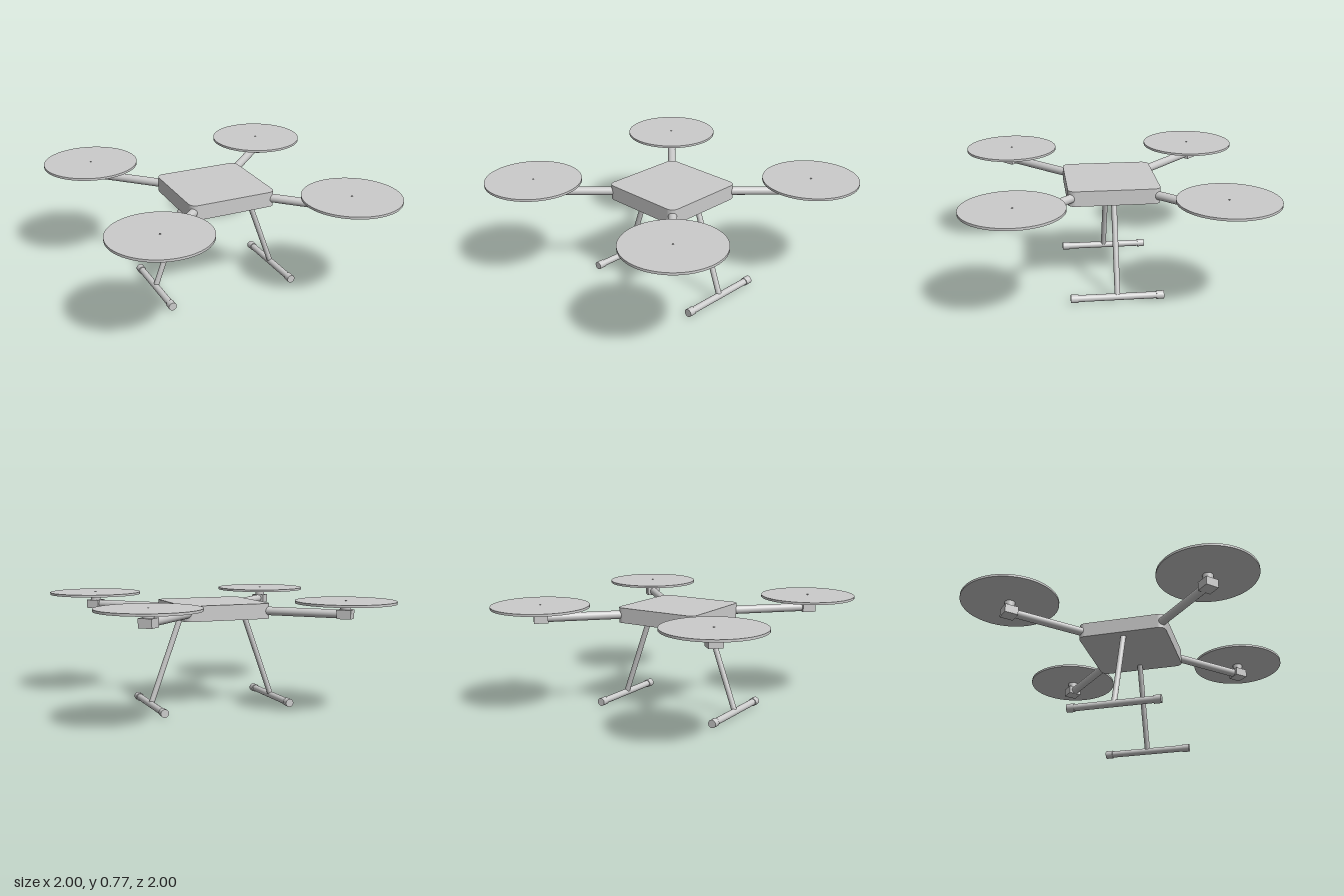
import * as THREE from 'three';

const material = new THREE.MeshStandardMaterial({ color: 0xcccccc });

function add(parent, name, geometry, x = 0, y = 0, z = 0) {
  const mesh = new THREE.Mesh(geometry, material);
  mesh.name = name;
  mesh.position.set(x, y, z);
  parent.add(mesh);
  return mesh;
}

// Cylinder running between two points
function rod(parent, name, a, b, radius) {
  const dir = b.clone().sub(a);
  const mesh = add(parent, name, new THREE.CylinderGeometry(radius, radius, dir.length(), 32));
  mesh.position.copy(a).add(b).multiplyScalar(0.5);
  mesh.quaternion.setFromUnitVectors(new THREE.Vector3(0, 1, 0), dir.normalize());
  return mesh;
}

// Square plate with rounded vertical corners
function plateGeometry(half, radius, height) {
  const shape = new THREE.Shape();
  const c = half - radius;
  shape.absarc(c, c, radius, 0, Math.PI / 2);
  shape.absarc(-c, c, radius, Math.PI / 2, Math.PI);
  shape.absarc(-c, -c, radius, Math.PI, Math.PI * 1.5);
  shape.absarc(c, -c, radius, Math.PI * 1.5, Math.PI * 2);
  shape.closePath();
  const geometry = new THREE.ExtrudeGeometry(shape, { depth: height, bevelEnabled: false, curveSegments: 8 });
  return geometry.rotateX(-Math.PI / 2);
}

export function createModel() {
  const model = new THREE.Group();
  model.name = 'quadcopter';
  const v = (x, y, z) => new THREE.Vector3(x, y, z);

  add(model, 'body', plateGeometry(0.308, 0.05, 0.104), 0, 0.625, 0);

  // Four diagonal arms, each with a motor and a rotor disc
  const reach = 0.67;
  for (const sx of [-1, 1]) {
    for (const sz of [-1, 1]) {
      const unit = new THREE.Group();
      unit.name = `${sz > 0 ? 'front' : 'back'}${sx > 0 ? 'Left' : 'Right'}RotorUnit`;
      model.add(unit);
      const x = sx * reach, z = sz * reach;
      rod(unit, 'arm', v(sx * 0.24, 0.677, sz * 0.24), v(x, 0.677, z), 0.029);
      add(unit, 'motorMount', new THREE.BoxGeometry(0.093, 0.059, 0.093), x, 0.677, z).rotation.y = Math.PI / 4;
      add(unit, 'motor', new THREE.CylinderGeometry(0.035, 0.035, 0.046, 32), x, 0.728, z);
      add(unit, 'rotorDisc', new THREE.CylinderGeometry(0.33, 0.33, 0.016, 64), x, 0.757, z);
      add(unit, 'rotorPin', new THREE.CylinderGeometry(0.006, 0.006, 0.03, 12), x, 0.754, z);
    }
  }

  // Landing gear: a splayed leg and a skid with end caps on each side
  for (const s of [-1, 1]) {
    const gear = new THREE.Group();
    gear.name = s > 0 ? 'leftLandingGear' : 'rightLandingGear';
    model.add(gear);
    const x = s * 0.455, y = 0.03;
    rod(gear, 'leg', v(s * 0.232, 0.64, 0), v(x, y, 0), 0.019);
    rod(gear, 'skid', v(x, y, -0.3), v(x, y, 0.3), 0.023);
    for (const e of [-1, 1]) {
      rod(gear, 'skidCap', v(x, y, e * 0.262), v(x, y, e * 0.312), 0.028);
    }
  }
  return model;
}
